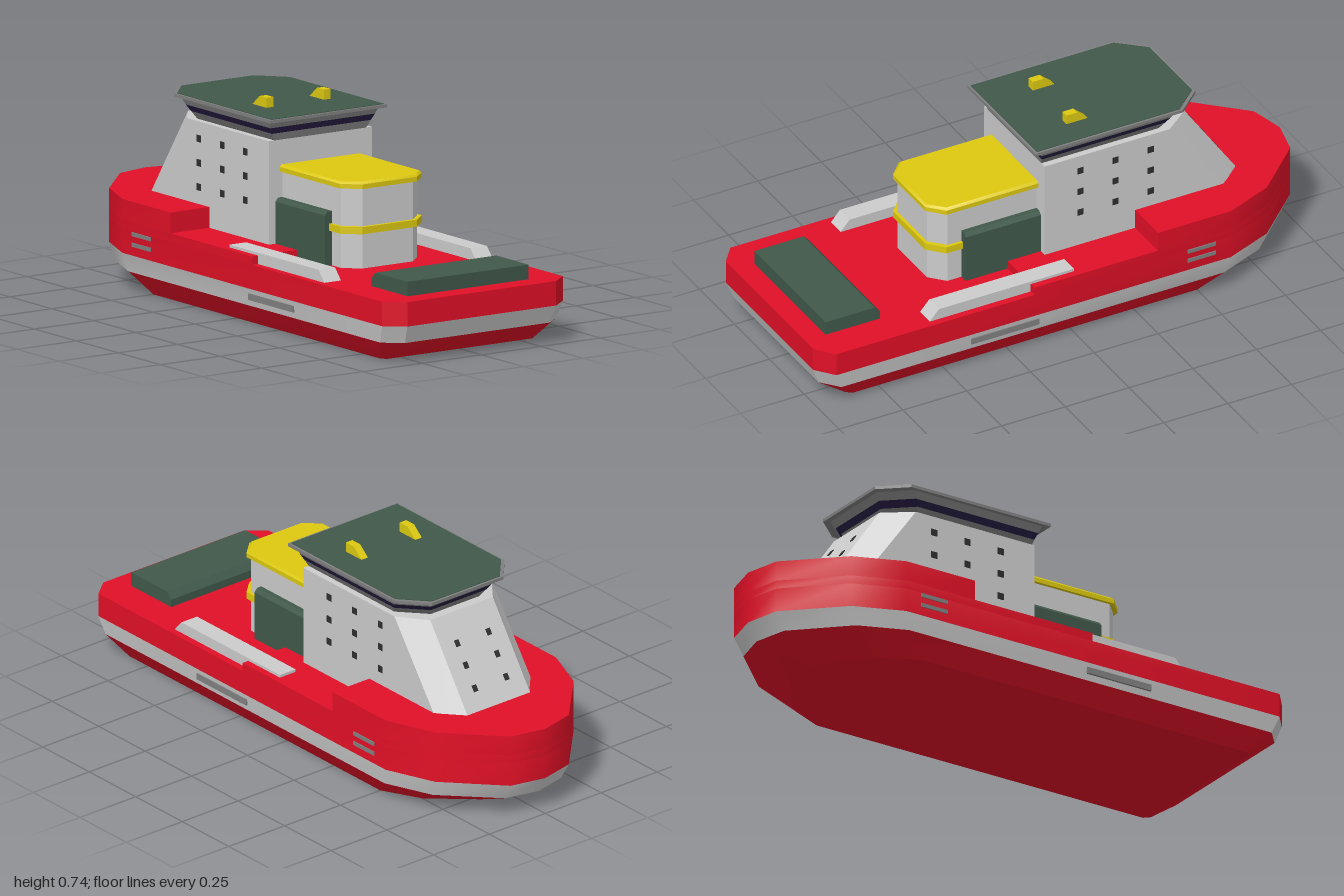
import * as THREE from 'three';
import { toCreasedNormals } from 'three/addons/utils/BufferGeometryUtils.js';

const paint = (color) => new THREE.MeshStandardMaterial({ color });
const RED = paint(0xe01026), GREY = paint(0xcccccc), STEEL = paint(0x808080), GREEN = paint(0x40584a);
const YELLOW = paint(0xdcc810), NAVY = paint(0x251d42), DARK = paint(0x2e2e2e);

// Mirror a half outline [x, z], listed bow to stern on the +z side
function mirrored(half) {
  const other = half.filter((p) => p[1] > 0).map(([x, z]) => [x, -z]).reverse();
  return [...half, ...other];
}

// Closed solid through horizontal rings [y, halfOutline], bottom to top
function loft(rings) {
  const loops = rings.map(([y, half]) => mirrored(half).map(([x, z]) => [x, y, z]));
  const n = loops[0].length, pos = [];
  const tri = (a, b, c) => pos.push(...a, ...b, ...c);
  for (let r = 0; r < loops.length - 1; r++) {
    const lo = loops[r], hi = loops[r + 1];
    for (let i = 0; i < n; i++) {
      const j = (i + 1) % n;
      tri(lo[i], lo[j], hi[j]);
      tri(lo[i], hi[j], hi[i]);
    }
  }
  const bottom = loops[0], top = loops[loops.length - 1];
  for (let i = 1; i < n - 1; i++) {
    tri(top[0], top[i], top[i + 1]);
    tri(bottom[0], bottom[i + 1], bottom[i]);
  }
  const g = new THREE.BufferGeometry();
  g.setAttribute('position', new THREE.Float32BufferAttribute(pos, 3));
  return toCreasedNormals(g, 0.6);
}

// Side profile [x, y] extruded between z0 and z1
function profile(points, z0, z1) {
  const shape = new THREE.Shape(points.map(([x, y]) => new THREE.Vector2(x, y)));
  return new THREE.ExtrudeGeometry(shape, { depth: z1 - z0, bevelEnabled: false }).translate(0, 0, z0);
}

// Box given by its extents
function block(x0, x1, y0, y1, z0, z1) {
  return new THREE.BoxGeometry(x1 - x0, y1 - y0, z1 - z0)
    .translate((x0 + x1) / 2, (y0 + y1) / 2, (z0 + z1) / 2);
}

export function createModel() {
  const ship = new THREE.Group();
  ship.name = 'ship';
  const add = (name, geometry, material) => {
    const mesh = new THREE.Mesh(geometry, material);
    mesh.name = name;
    ship.add(mesh);
    return mesh;
  };

  // Hull: keel, grey belt, topsides and two raised decks
  const bow = [[-1, 0], [-0.97, 0.13], [-0.78, 0.31], [-0.6, 0.381]];
  const rail = [...bow, [0.945, 0.381], [1, 0.313]];
  const belt = [[-0.965, 0], [-0.935, 0.125], [-0.755, 0.3], [-0.58, 0.37], [0.92, 0.37], [0.975, 0.305]];
  const keel = [[-0.8, 0], [-0.775, 0.1], [-0.64, 0.25], [-0.5, 0.322], [0.85, 0.322], [0.87, 0.305]];
  add('lowerHull', loft([[0, keel], [0.073, belt]]), RED);
  add('hullBelt', loft([[0.073, belt], [0.136, rail]]), GREY);
  add('upperHull', loft([[0.136, rail], [0.222, rail]]), RED);
  const midDeck = [...bow, [0.17, 0.381]], foreDeck = [...bow, [-0.315, 0.381]];
  add('midDeck', loft([[0.222, midDeck], [0.252, midDeck]]), RED);
  add('foreDeck', loft([[0.252, foreDeck], [0.325, foreDeck]]), RED);

  // Deckhouse with raked, chamfered front
  add('deckhouse', loft([
    [0.22, [[-0.822, 0.14], [-0.736, 0.217], [0.04, 0.217]]],
    [0.615, [[-0.55, 0.14], [-0.45, 0.217], [0.04, 0.217]]],
  ]), GREY);

  // Flared bridge with a window strip
  const bridge = (x0, x1, w) => [[x0, w - 0.085], [x0 + 0.095, w], [x1, w]];
  const levels = [
    [0.615, bridge(-0.515, 0.04, 0.193)], [0.641, bridge(-0.532, 0.046, 0.208)],
    [0.663, bridge(-0.547, 0.054, 0.22)], [0.689, bridge(-0.563, 0.063, 0.23)],
  ];
  add('bridgeBase', loft([levels[0], levels[1]]), STEEL);
  add('bridgeWindows', loft([levels[1], levels[2]]), NAVY);
  add('bridgeTop', loft([levels[2], levels[3]]), STEEL);
  const roof = bridge(-0.582, 0.09, 0.245), roofTop = bridge(-0.573, 0.082, 0.237);
  add('roofPlate', loft([[0.688, roof], [0.699, roof]]), STEEL);
  add('roofCover', loft([[0.699, roofTop], [0.701, roofTop]]), GREEN);

  // Aft house with yellow bands
  const house = [[0.03, 0.16], [0.39, 0.16], [0.44, 0.106]];
  add('aftHouse', loft([[0.22, house], [0.51, house]]), GREY);
  const band = (d) => [[0.03, 0.172 - d], [0.4 - d / 2, 0.172 - d], [0.453 - d, 0.115 - d / 2]];
  add('aftHouseRoof', loft([[0.504, band(0)], [0.52, band(0)], [0.528, band(0.008)]]), YELLOW);
  add('aftHouseBand', loft([[0.345, band(0)], [0.37, band(0)]]), YELLOW);

  // Aft hatch with a bevelled forward edge
  add('aftHatch', profile(
    [[0.705, 0.22], [0.92, 0.22], [0.92, 0.273], [0.727, 0.273], [0.705, 0.25]], -0.255, 0.255), GREEN);

  // Parts repeated on both sides
  for (const s of [1, -1]) {
    const side = s > 0 ? 'left' : 'right';
    const span = (a, b) => (s > 0 ? [a, b] : [-b, -a]);

    // Locker whose outer top edge is bevelled
    const locker = new THREE.Shape([[0.15, 0.22], [0.19, 0.22], [0.19, 0.4], [0.178, 0.413], [0.15, 0.413]]
      .map(([z, y]) => new THREE.Vector2(-s * z, y)));
    add(side + 'Locker', new THREE.ExtrudeGeometry(locker, { depth: 0.295, bevelEnabled: false })
      .rotateY(Math.PI / 2).translate(0.04, 0, 0), GREEN);

    add(side + 'DeckBeam', profile(
      [[0, 0.22], [0.567, 0.22], [0.53, 0.262], [0, 0.262]], ...span(0.285, 0.355)), GREY);
    add(side + 'RoofLight', profile(
      [[-0.175, 0.7], [-0.09, 0.7], [-0.09, 0.736], [-0.132, 0.736]], ...span(0.106, 0.135)), YELLOW);
    for (const y of [0.168, 0.205]) {
      add(side + 'HullVent', block(-0.54, -0.43, y, y + 0.014, ...span(0.36, 0.385)), STEEL);
    }
    add(side + 'Fender', block(0.15, 0.415, 0.096, 0.119, ...span(0.35, 0.382)), STEEL);

    // Side and front windows, three rows each
    for (const y of [0.385, 0.47, 0.555]) {
      for (const x of [-0.375, -0.237, -0.1]) {
        add(side + 'Window', block(x - 0.012, x + 0.012, y - 0.012, y + 0.012, ...span(0.21, 0.219)), DARK);
      }
    }
    for (const y of [0.39, 0.46, 0.527]) {
      const pane = add(side + 'FrontWindow', new THREE.BoxGeometry(0.006, 0.024, 0.018), DARK);
      pane.position.set(-0.75 + (y - 0.325) * 0.69, y, s * 0.07);
      pane.rotation.z = -Math.atan(0.69);
    }
  }
  return ship;
}
